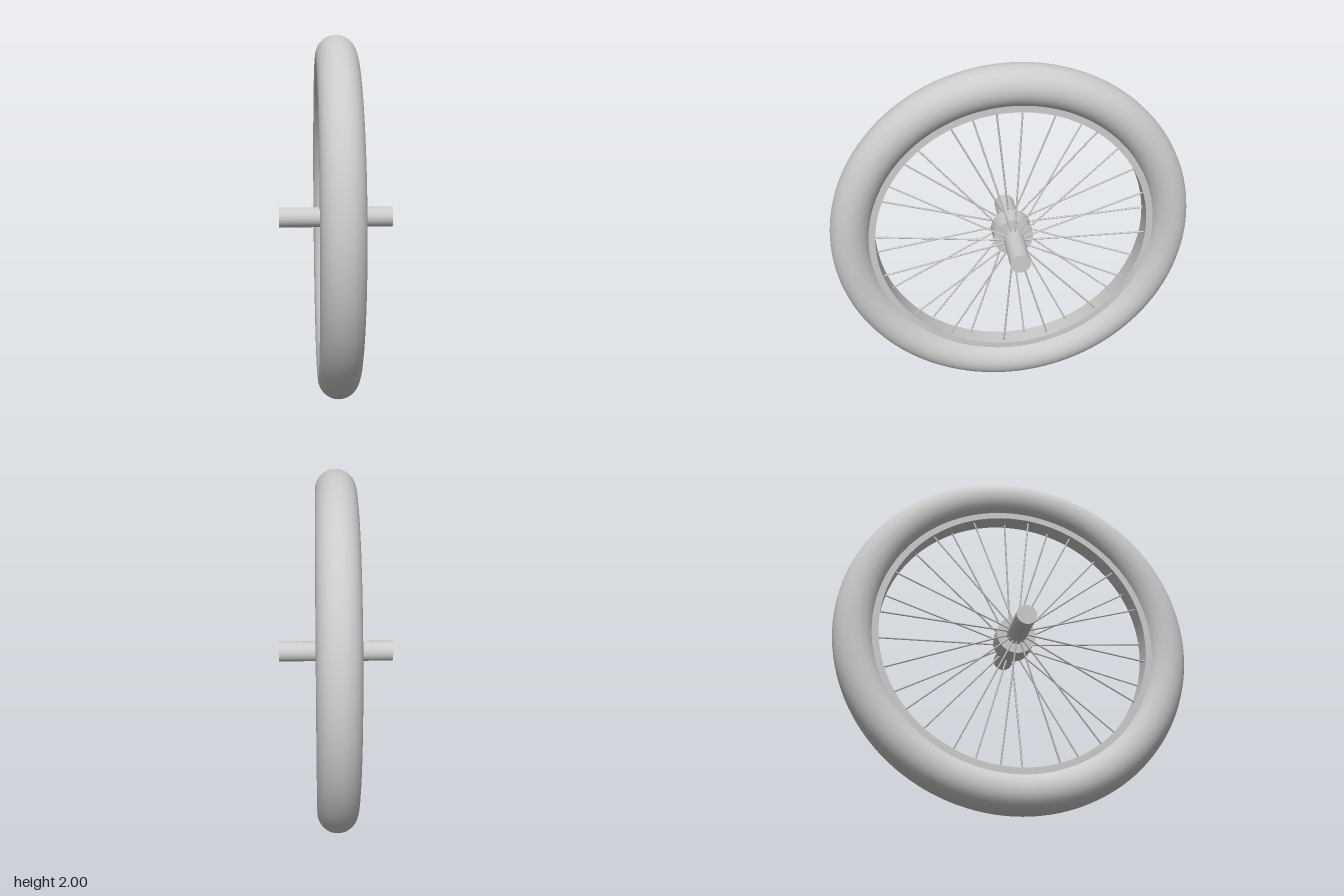
import * as THREE from 'three';
import { toCreasedNormals } from 'three/addons/utils/BufferGeometryUtils.js';

const material = new THREE.MeshStandardMaterial({ color: 0xcccccc });

function addPart(group, name, geometry) {
  const mesh = new THREE.Mesh(geometry, material);
  mesh.name = name;
  group.add(mesh);
}

// Cylinder lying along the x axis
function axial(radius, length) {
  return new THREE.CylinderGeometry(radius, radius, length, 48).rotateZ(Math.PI / 2);
}

// Flat-sided band around the x axis
function band(inner, outer, width) {
  const shape = new THREE.Shape().absarc(0, 0, outer, 0, Math.PI * 2);
  shape.holes.push(new THREE.Path().absarc(0, 0, inner, 0, Math.PI * 2, true));
  const geometry = new THREE.ExtrudeGeometry(shape, { depth: width, bevelEnabled: false, curveSegments: 64 });
  geometry.translate(0, 0, -width / 2).rotateY(Math.PI / 2);
  return toCreasedNormals(geometry, 0.6);
}

// Thin round rod between two points
function rod(from, to, radius) {
  const direction = to.clone().sub(from);
  const geometry = new THREE.CylinderGeometry(radius, radius, direction.length(), 8);
  const turn = new THREE.Quaternion().setFromUnitVectors(new THREE.Vector3(0, 1, 0), direction.normalize());
  geometry.applyQuaternion(turn);
  const middle = from.clone().add(to).multiplyScalar(0.5);
  return geometry.translate(middle.x, middle.y, middle.z);
}

export function createModel() {
  const wheel = new THREE.Group();
  wheel.name = 'wheel';

  // Tyre and rim
  addPart(wheel, 'tyre', new THREE.TorusGeometry(0.89, 0.11, 32, 128).rotateY(Math.PI / 2));
  addPart(wheel, 'rim', band(0.757, 0.82, 0.104));

  // Hub and axle
  addPart(wheel, 'hub', axial(0.11, 0.12));
  addPart(wheel, 'axle', axial(0.056, 0.634));

  // Spokes: eight repeats of four, alternating between the two hub sides
  const spokes = new THREE.Group();
  spokes.name = 'spokes';
  const pattern = [4, 19, 29, 39];
  for (let repeat = 0; repeat < 8; repeat++) {
    pattern.forEach((degrees, i) => {
      const angle = THREE.MathUtils.degToRad(degrees + repeat * 45);
      const side = i % 2 ? -1 : 1;
      const at = (x, r) => new THREE.Vector3(x, r * Math.cos(angle), -r * Math.sin(angle));
      addPart(spokes, 'spoke', rod(at(side * 0.085, 0.04), at(side * 0.026, 0.765), 0.005));
    });
  }
  wheel.add(spokes);

  // Stand the wheel on the ground
  wheel.children.forEach((part) => { part.position.y = 1; });
  return wheel;
}
